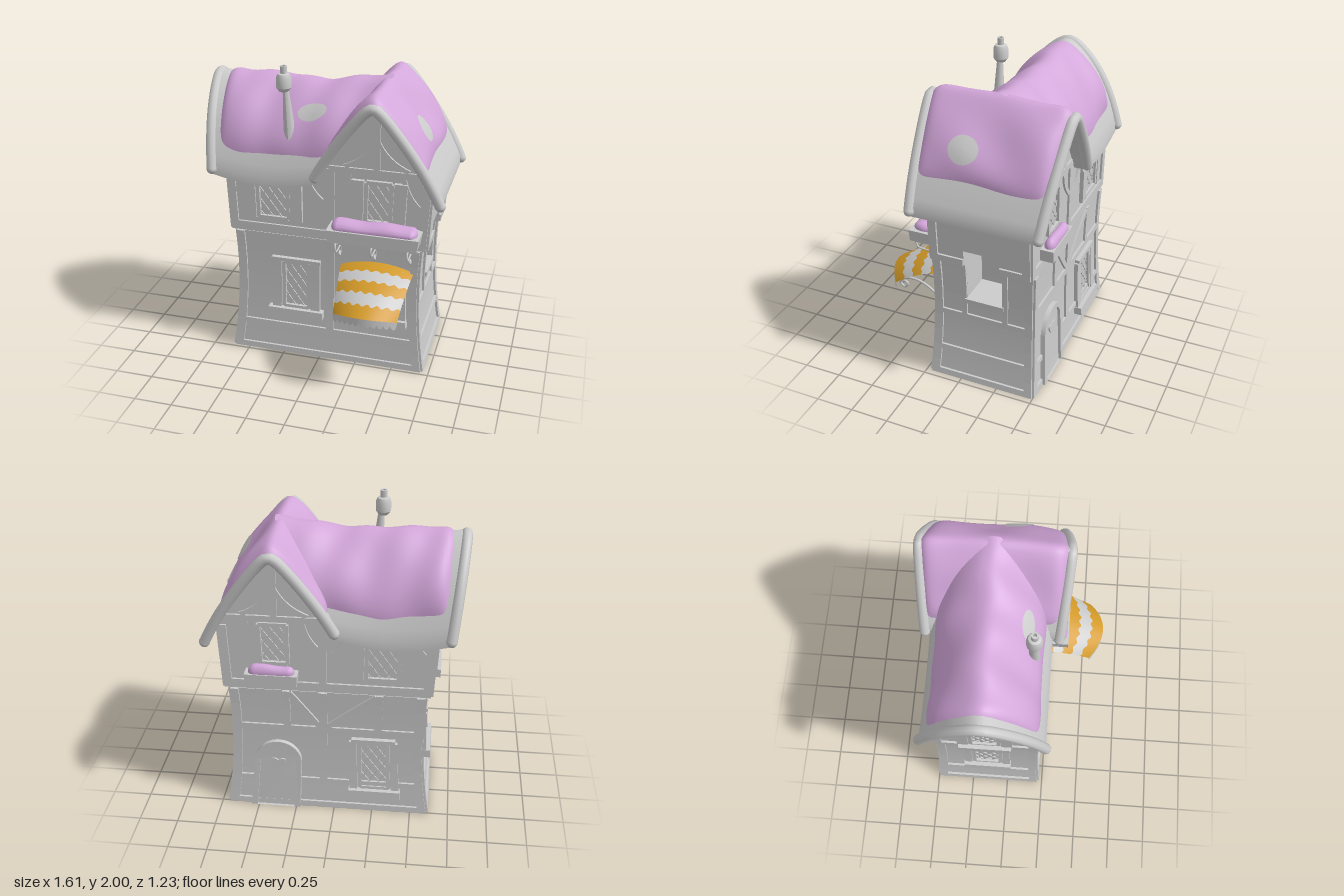
import * as THREE from 'three';
import { toCreasedNormals } from 'three/addons/utils/BufferGeometryUtils.js';

const V = (x, y, z) => new THREE.Vector3(x, y, z);
const lerp = THREE.MathUtils.lerp;
const paint = (color) => new THREE.MeshStandardMaterial({ color, side: THREE.DoubleSide });
const GREY = paint(0xcccccc), PINK = paint(0xd3a7da), GOLD = paint(0xd39a28);

export function createModel() {
  const house = new THREE.Group();
  house.name = 'house';
  const add = (name, geo, mat = GREY) => {
    const m = new THREE.Mesh(geo, mat);
    m.name = name;
    house.add(m);
    return m;
  };
  // move every vertex of a geometry by a rule
  const move = (geo, rule) => {
    const p = geo.attributes.position;
    for (let i = 0; i < p.count; i++) {
      const q = rule(p.getX(i), p.getY(i), p.getZ(i));
      p.setXYZ(i, q.x, q.y, q.z);
    }
    geo.computeVertexNormals();
    return geo;
  };
  const sheet = (nu, nv, fn) => move(new THREE.PlaneGeometry(1, 1, nu, nv), (x, y) => fn(x + 0.5, y + 0.5));

  // ---------- crooked walls: flared foot below, leaning storey above ----------
  const JETTY = 0.88, CX = 0.045, CZ = -0.14;
  const warp = (geo, upper) => move(geo, (x, y, z) => {
    const k = (1 - y / 0.6) ** 2;
    const sx = upper ? 0.985 + 0.03 * Math.min(1, (y - JETTY) / 0.42) : 1 + 0.085 * k;
    const sz = upper ? 1 : 1 + 0.07 * k;
    return V(CX + (x - CX) * sx, y, CZ + (z - CZ) * sz);
  });
  const block = (name, x0, x1, y0, y1, z0, z1) => add(name, warp(
    new THREE.BoxGeometry(x1 - x0, y1 - y0, z1 - z0, 1, 8, 1)
      .translate((x0 + x1) / 2, (y0 + y1) / 2, (z0 + z1) / 2), y0 >= JETTY));
  const F = 0.19, B = -0.47, L = -0.555, R = 0.645, LU = -0.61, RU = 0.7;
  block('lowerWalls', L, 0.43, 0, JETTY, B, F);
  block('lowerWallRight', 0.43, R, 0, 0.62, B, F);
  block('upperWalls', LU, 0.43, JETTY, 1.36, B, F);
  block('upperWallRight', 0.43, RU, 0.99, 1.36, B, F);
  for (const [z0, z1] of [[B, -0.27], [-0.03, F]]) { // cheeks of the side opening
    block('openingCheek', 0.43, R, 0.62, JETTY, z0, z1);
    block('openingCheek', 0.43, RU, JETTY, 0.99, z0, z1);
  }

  // local (across, up, out) on a face -> house space; across runs to the viewer's right
  const turn = { front: 0, right: Math.PI / 2, back: Math.PI, left: -Math.PI / 2 };
  const onWall = (name, face, geo, mat) => {
    geo.computeBoundingBox();
    const up = (geo.boundingBox.min.y + geo.boundingBox.max.y) / 2 > JETTY;
    const o = { front: [0, F], back: [0, B], left: [up ? LU : L, 0], right: [up ? RU : R, 0] }[face];
    return add(name, warp(geo.rotateY(turn[face]).translate(o[0], 0, o[1]), up), mat);
  };
  const beam = (name, face, a0, b0, a1, b1, w = 0.045, out = 0.014, bow = 0) => {
    const len = Math.hypot(a1 - a0, b1 - b0);
    const g = new THREE.BoxGeometry(len, w, out * 2, 8, 1, 1);
    move(g, (x, y, z) => V(x, y + bow * (1 - (2 * x / len) ** 2), z));
    g.rotateZ(Math.atan2(b1 - b0, a1 - a0)).translate((a0 + a1) / 2, (b0 + b1) / 2, 0);
    return onWall(name, face, toCreasedNormals(g, 0.5));
  };

  // ---------- timber frame ----------
  const spans = { front: [L, R], back: [-R, -L], left: [B, F], right: [-F, -B] };
  for (const face of Object.keys(spans)) {
    const [a, b] = spans[face], side = face === 'left' || face === 'right';
    const ua = side ? a : a - 0.055, ub = side ? b : b + 0.055;
    beam('skirtRail', face, a, 0.205, b, 0.205, 0.035);
    beam('sill', face, a, 0.02, b, 0.02, 0.04);
    if (face !== 'right') beam('floorBeam', face, ua, 0.92, ub, 0.92, 0.06);
    for (const [p, q, s] of [[a, ua, 1], [b, ub, -1]]) {
      beam('lowerPost', face, p + s * 0.025, 0, p + s * 0.025, JETTY, 0.05);
      beam('upperPost', face, q + s * 0.025, 0.89, q + s * 0.025, 1.33, 0.05);
    }
  }
  for (const [face, s] of [['front', 1], ['back', -1]]) {
    beam('middlePost', face, s * 0.07, 0.2, s * 0.07, JETTY, 0.05);
    beam('middlePost', face, s * 0.07, 0.89, s * 0.07, 1.38, 0.05);
    beam('gableTie', face, s * 0.36 - 0.3, 1.385, s * 0.36 + 0.3, 1.385, 0.04);
    beam('kingPost', face, s * 0.36, 1.4, s * 0.36, 1.76, 0.04);
    for (const m of [-1, 1]) {
      beam('gableBrace', face, s * 0.36 + m * 0.2, 1.41, s * 0.36, 1.6, 0.03, 0.013, m * 0.03);
      beam('wallBrace', face, s * 0.36 + m * 0.27, 1.18, s * 0.36 + m * 0.17, 1.37, 0.03, 0.013, m * 0.02);
      beam('wallBrace', face, s * -0.28 + m * 0.29, 1.16, s * -0.28 + m * 0.19, 1.34, 0.03, 0.013, m * 0.02);
    }
  }
  beam('backRail', 'back', -R, 0.6, -L, 0.6, 0.045);
  for (const a of [-0.3, 0.28]) beam('backStud', 'back', a, 0.6, a, JETTY);
  beam('backBrace', 'back', -0.28, 0.87, -0.09, 0.62, 0.035);
  beam('backBrace', 'back', -0.05, 0.62, 0.26, 0.87, 0.035);
  beam('leftTie', 'left', B + 0.02, 1.34, F - 0.02, 1.34, 0.04);
  beam('leftKingPost', 'left', CZ, 1.35, CZ, 1.76, 0.04);
  for (const m of [-1, 1]) beam('leftBrace', 'left', CZ + m * 0.22, 1.36, CZ, 1.6, 0.03, 0.013, m * 0.03);
  // frame of the side opening
  beam('sideRail', 'right', -F, 0.48, -B, 0.48, 0.035);
  for (const a of [0.012, 0.288]) beam('openingPost', 'right', a, 0.48, a, JETTY, 0.035);
  beam('openingSill', 'right', 0.02, 0.605, 0.28, 0.605, 0.03, 0.025);
  for (const [a, b] of [[-F, 0.03], [0.27, -B]]) beam('floorBeam', 'right', a, 0.91, b, 0.91, 0.045);

  // ---------- windows ----------
  const leadedWindow = (face, c, y0, y1, w, { shutter = 0, sill = 0 } = {}) => {
    const h = w / 2, my = (y0 + y1) / 2, H = (y1 - y0) / 2;
    for (const m of [-1, 1]) {
      beam('windowJamb', face, c + m * h, y0, c + m * h, y1, 0.025, 0.022);
      beam('windowRail', face, c - h, my + m * H, c + h, my + m * H, 0.025, 0.022);
      for (let k = -4; k <= 4; k++) { // diamond leading, clipped to the frame
        const off = k * 0.085, slope = m * 1.4;
        const e = [(-H - off) / slope, (H - off) / slope].sort((p, q) => p - q);
        const a = Math.max(-h, e[0]), b = Math.min(h, e[1]);
        if (b - a > 0.02) beam('leading', face, c + a, my + slope * a + off, c + b, my + slope * b + off, 0.008, 0.008);
      }
      if (shutter) {
        const sx = c + m * (h + 0.015 + shutter / 2);
        beam('shutter', face, sx, y0 - 0.01, sx, y1 + 0.01, shutter, 0.026);
      }
    }
    if (sill) {
      beam('windowSill', face, c - h - sill, y0 - 0.035, c + h + sill, y0 - 0.035, 0.055, 0.05);
      beam('windowHead', face, c - h - sill + 0.02, y1 + 0.02, c + h + sill - 0.02, y1 + 0.02, 0.025, 0.03);
    }
  };
  leadedWindow('front', -0.31, 1.0, 1.33, 0.2, { shutter: 0.08 });
  leadedWindow('front', 0.38, 1.05, 1.32, 0.16, { shutter: 0.08 });
  leadedWindow('front', -0.16, 0.36, 0.69, 0.17, { shutter: 0.06, sill: 0.1 });
  leadedWindow('front', 0.39, 0.38, 0.7, 0.18, { shutter: 0.08, sill: 0.1 });
  leadedWindow('back', 0.3, 1.0, 1.32, 0.2, { shutter: 0.05 });
  leadedWindow('back', -0.37, 1.08, 1.35, 0.17);
  leadedWindow('back', 0.25, 0.18, 0.52, 0.18, { shutter: 0.05, sill: 0.07 });
  leadedWindow('left', CZ, 1.0, 1.27, 0.18, { shutter: 0.07, sill: 0.08 });
  leadedWindow('left', CZ, 0.37, 0.64, 0.18, { shutter: 0.05, sill: 0.07 });

  // ---------- arched back door with heart ----------
  const arch2d = (S, r, top) => new S().moveTo(-r, 0).lineTo(r, 0).lineTo(r, top - r).absarc(0, top - r, r, 0, Math.PI).lineTo(-r, 0);
  const frame = arch2d(THREE.Shape, 0.15, 0.5);
  frame.holes.push(arch2d(THREE.Path, 0.115, 0.465));
  const slab = (shape, depth) => new THREE.ExtrudeGeometry(shape, { depth, bevelEnabled: false, curveSegments: 16 });
  onWall('doorFrame', 'back', slab(frame, 0.03).translate(-0.36, 0, 0));
  onWall('door', 'back', slab(arch2d(THREE.Shape, 0.115, 0.465), 0.012).translate(-0.36, 0, 0));
  const heart = new THREE.Shape().moveTo(0, -0.045).bezierCurveTo(-0.08, 0.01, -0.04, 0.06, 0, 0.02).bezierCurveTo(0.04, 0.06, 0.08, 0.01, 0, -0.045);
  onWall('doorHeart', 'back', slab(heart, 0.022).translate(-0.36, 0.33, 0));

  // ---------- roof: main ridge along x, cross gable along z ----------
  const arch = (ridge, drop, half, e, steep) => ({ half, ridge, y: (t) => {
    const a = Math.abs(t), lin = (Math.sqrt(a * a + e) - Math.sqrt(e)) / (Math.sqrt(1 + e) - Math.sqrt(e));
    return ridge - drop * ((1 - steep) * lin + steep * a ** 4);
  } });
  const main = arch(1.87, 0.53, 0.385, 0.04, 0.4), cross = arch(1.86, 0.59, 0.42, 0.01, 0.15);
  const XC = 0.36;
  const crossX = (y) => { // where the cross gable's left slope has height y
    let lo = 0, hi = 1;
    for (let i = 0; i < 20; i++) { const m = (lo + hi) / 2; if (cross.y(m) > y) lo = m; else hi = m; }
    return XC - lo * cross.half + 0.03;
  };
  const lean = (y) => (y - 1.27) / 0.58;
  const placeMain = (p, y, s) => V(lerp(-0.7 - 0.065 * lean(y), crossX(y), s), y - 0.05 * Math.sin(Math.PI * s), CZ - p);
  const placeCross = (p, y, s) => V(XC + p, y, lerp(-0.55 - 0.04 * lean(y), 0.28 + 0.04 * lean(y), s));
  const outline = (A, t0, t1, dy) => Array.from({ length: 33 }, (_, i) => {
    const t = lerp(t0, t1, i / 32);
    return new THREE.Vector2(t * A.half, A.y(t) + dy);
  });
  const prism = (pts, place) => toCreasedNormals(move(new THREE.ExtrudeGeometry(new THREE.Shape(pts),
    { depth: 1, steps: 14, bevelEnabled: false }), (x, y, z) => place(x, y, z)), 0.6);
  for (const [A, t0, place, ends] of [[main, -1, placeMain, [0]], [cross, -0.88, placeCross, [0, 1]]]) {
    add('thatch', prism([...outline(A, t0, 1, 0), ...outline(A, t0, 1, -0.06).reverse()], place));
    for (const s of ends) {
      const path = outline(A, t0, 1, -0.025).map((q) => place(q.x, q.y, s));
      add('bargeRoll', new THREE.TubeGeometry(new THREE.CatmullRomCurve3(path), 40, 0.034, 10));
      for (const q of [path[0], path[32]]) add('bargeEnd', new THREE.SphereGeometry(0.034, 10, 8).translate(q.x, q.y, q.z));
    }
  }
  // gable walls under the roof
  const gable = (A, t) => [...outline(A, t, -t, -0.05), new THREE.Vector2(-t * A.half, 1.28), new THREE.Vector2(t * A.half, 1.28)];
  add('leftGable', prism(gable(main, -0.85), (p, y, s) => V(lerp(-0.618, 0.1, s), y, CZ - p)));
  add('crossGable', prism(gable(cross, -0.77), (p, y, s) => V(XC + p, y, lerp(B, F, s))));

  // pink cover, swelling over the thatch and tucked in at its edges
  const swell = (u, v, x, z, endFree) => {
    const edge = (1 - Math.abs(2 * v - 1) ** 10) * (1 - (endFree ? Math.max(0, 1 - 2 * u) : Math.abs(2 * u - 1)) ** 14);
    return -0.015 + edge * (0.055 + 0.011 * Math.sin(11 * x + 2) * Math.sin(13 * z + 1) + 0.006 * Math.sin(23 * x + 9 * z));
  };
  const lifted = (q, dx, dz, h) => q.addScaledVector(V(dx, 0.3, dz).normalize(), h);
  const coverMain = (u, v, extra = 0) => {
    const t = lerp(-0.9, 0.9, v) + 0.012 * Math.sin(u * 9), p = t * main.half;
    const q = placeMain(-p, main.y(t), lerp(0.06, 1, u));
    return lifted(q, 0, p, swell(u, v, q.x, q.z, true) + extra);
  };
  const coverCross = (u, v, extra = 0) => {
    const t = lerp(-0.8, 0.8, v) + 0.012 * Math.sin(u * 8), p = t * cross.half;
    const q = placeCross(p, cross.y(t), lerp(0.01, 0.985, u));
    return lifted(q, p, 0, swell(u, v, q.x, q.z, false) + extra);
  };
  for (const [fn, u0, v0, ru, rv] of [[coverMain, 0.66, 0.8, 0.1, 0.05], [coverCross, 0.65, 0.85, 0.11, 0.07]]) {
    add('roofCover', sheet(56, 48, fn), PINK);
    add('barePatch', sheet(28, 4, (a, r) => fn(u0 + ru * r * Math.cos(a * 2 * Math.PI), v0 + rv * r * Math.sin(a * 2 * Math.PI), 0.005)));
  }

  // ---------- chimney ----------
  const pipe = new THREE.CylinderGeometry(0.018, 0.042, 0.34, 12, 4);
  add('chimneyPipe', move(pipe, (x, y, z) => V(x - 0.222 - 0.07 * y, y + 1.7, z + 0.135)));
  const lathe = [[0, 1.84], [0.03, 1.84], [0.048, 1.865], [0.048, 1.925], [0.038, 1.95], [0.022, 1.955], [0.022, 2], [0.012, 2], [0.012, 1.96], [0, 1.96]];
  add('chimneyPot', toCreasedNormals(new THREE.LatheGeometry(lathe.map((p) => new THREE.Vector2(...p)), 16), 0.6)).position.set(-0.245, 0, 0.135);

  // ---------- flower boxes ----------
  for (const [x0, x1, z0, z1] of [[0.08, 0.67, F, 0.355], [0.22, 0.55, -0.555, B]]) {
    const w = x1 - x0, d = z1 - z0, cx = (x0 + x1) / 2, cz = (z0 + z1) / 2;
    add('flowerBox', move(new THREE.BoxGeometry(w, 0.08, d), (x, y, z) => V(x * (0.98 + y * 0.5) + cx, y + 0.99, z + cz)));
    add('flowers', move(new THREE.CapsuleGeometry(0.045, w - 0.13, 8, 16, 12).rotateZ(Math.PI / 2),
      (x, y, z) => V(x + cx, y * (1 + 0.15 * Math.sin(x * 22)) + 1.035, z * d * 9.5 + cz)), PINK);
  }

  // ---------- wrought iron scrolls ----------
  const iron = (name, x, r, pts) => add(name, new THREE.TubeGeometry(
    new THREE.CatmullRomCurve3(pts.map(([z, y]) => V(x, y, z))), 48, r, 6));
  for (const x of [0.14, 0.37, 0.6]) iron('boxScroll', x, 0.006,
    [[0.3, 0.91], [0.32, 0.935], [0.345, 0.91], [0.33, 0.875], [0.27, 0.865], [0.22, 0.865], [0.2, 0.83], [0.22, 0.8], [0.245, 0.82], [0.225, 0.835]]);
  for (const x of [0.21, 0.56]) iron('awningBracket', x, 0.008,
    [[0.19, 0.47], [0.26, 0.53], [0.34, 0.575], [0.42, 0.585], [0.48, 0.565], [0.5, 0.53], [0.47, 0.505], [0.445, 0.53], [0.465, 0.55], [0.48, 0.535]]);

  // ---------- striped awning with scalloped fringe ----------
  const awning = (u, t) => {
    const a = 2 * u - 1;
    return V(0.38 + a * (0.24 - 0.035 * t), 0.765 - 0.1 * t - 0.08 * t * t - 0.045 * a * a, 0.19 + t * (0.42 - 0.09 * a * a));
  };
  const seam = (i, u) => i / 5 + (i > 0 && i < 5 ? 0.02 * Math.sin(u * 14 * Math.PI) : 0);
  for (let i = 0; i < 5; i++) add('awningStripe', sheet(72, 6, (u, v) => awning(u, lerp(seam(i, u), seam(i + 1, u), v))), i % 2 ? GREY : GOLD);
  add('awningFringe', sheet(120, 3, (u, v) => {
    const q = awning(u, 1);
    q.y -= v * (0.02 + 0.035 * Math.sqrt(Math.abs(Math.sin(u * 11 * Math.PI))));
    return q;
  }));
  return house;
}
